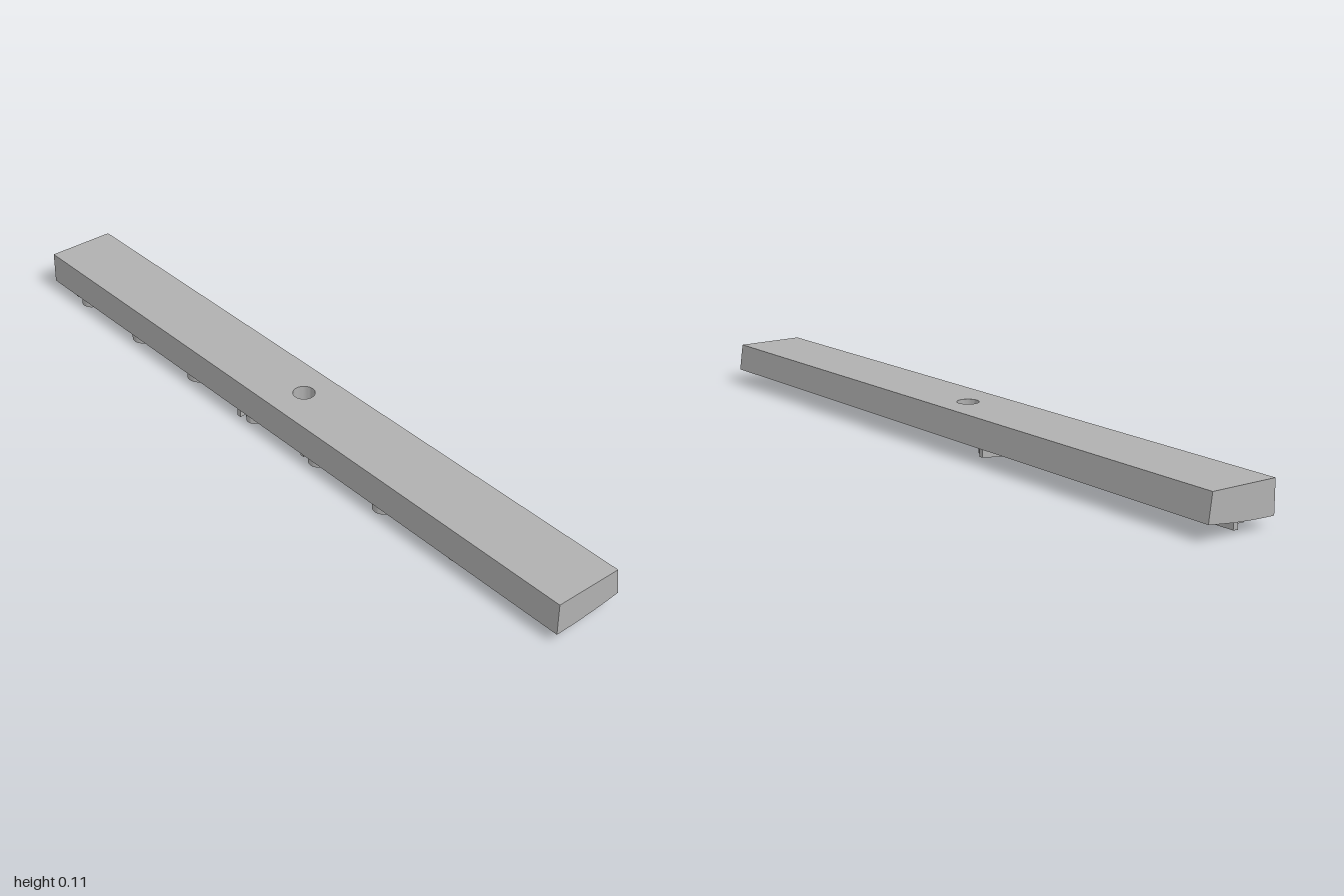
import * as THREE from 'three';
import { toCreasedNormals } from 'three/addons/utils/BufferGeometryUtils.js';

const TOP = 0.115, HOLE = 0.029, LUG = 0.028;

// Height of the gently curved underside at a given x
const underside = (x) => 0.028 + 0.014 * ((x + 0.1) / 0.2) ** 2;

// Bar built in columns across x, parted around the vertical hole
function barGeometry() {
  const pos = [];
  const quad = (a, b, c, d, flip) => {
    const q = flip ? [d, c, b, a] : [a, b, c, d];
    for (const i of [0, 1, 2, 0, 2, 3]) pos.push(...q[i]);
  };
  const xs = [-0.1, -0.08, -0.06, -0.045];
  for (let i = 0; i <= 16; i++) xs.push(-HOLE * Math.cos((Math.PI * i) / 16));
  xs.push(0.045, 0.06, 0.075, 0.09, 0.1);
  const gap = (x) => Math.sqrt(Math.max(0, HOLE * HOLE - x * x));
  const topX = (x) => Math.min(x, 0.09);

  for (let i = 0; i < xs.length - 1; i++) {
    const x0 = xs[i], x1 = xs[i + 1], t0 = topX(x0), t1 = topX(x1);
    const b0 = underside(x0), b1 = underside(x1), h0 = gap(x0), h1 = gap(x1);
    for (const s of [1, -1]) {
      const f = s < 0;
      quad([t0, TOP, s * h0], [t0, TOP, s], [t1, TOP, s], [t1, TOP, s * h1], f);
      quad([x0, b0, s * h0], [x0, b0, s], [x1, b1, s], [x1, b1, s * h1], !f);
      quad([x0, b0, s], [x1, b1, s], [t1, TOP, s], [t0, TOP, s], f);
      if (h0 + h1 > 1e-6) {
        quad([x0, b0, s * h0], [x1, b1, s * h1], [x1, TOP, s * h1], [x0, TOP, s * h0], !f);
      }
    }
  }
  // Upright left-hand side and leaning right-hand side
  for (const x of [-0.1, 0.1]) {
    const b = underside(x), t = topX(x);
    quad([x, b, -1], [x, b, 1], [t, TOP, 1], [t, TOP, -1], x > 0);
  }
  const geo = new THREE.BufferGeometry();
  geo.setAttribute('position', new THREE.Float32BufferAttribute(pos, 3));
  return toCreasedNormals(geo, 0.5);
}

// Bend a lug so that it follows the underside
function followUnderside(geo) {
  const p = geo.attributes.position;
  for (let i = 0; i < p.count; i++) p.setY(i, p.getY(i) + underside(p.getX(i)));
  return toCreasedNormals(geo, 0.6);
}

function ribGeometry(x, z, width, length) {
  const geo = new THREE.BoxGeometry(width, LUG + 0.003, length, 8, 1, 1);
  geo.translate(x, 0.0015 - LUG / 2, z);
  return followUnderside(geo);
}

function ringGeometry(x, z, outer, inner) {
  const shape = new THREE.Shape().absarc(0, 0, outer, 0, Math.PI * 2);
  shape.holes.push(new THREE.Path().absarc(0, 0, inner, 0, Math.PI * 2, true));
  const geo = new THREE.ExtrudeGeometry(shape, { depth: LUG + 0.003, bevelEnabled: false, curveSegments: 24 });
  geo.rotateX(-Math.PI / 2).translate(x, -LUG, z);
  return followUnderside(geo);
}

export function createModel() {
  const grey = new THREE.MeshStandardMaterial({ color: 0xb0b0b0 });
  grey.name = 'plain grey';
  const model = new THREE.Group();
  model.name = 'bar';
  const add = (name, geo) => {
    const mesh = new THREE.Mesh(geo, grey);
    mesh.name = name;
    model.add(mesh);
  };

  add('barBody', barGeometry());

  // Raised rings under the bar: x, z, outer radius, inner radius
  const rings = [
    [-0.043, 0.63, 0.034, 0.022],
    [-0.064, 0.38, 0.028, 0.017],
    [-0.062, 0.132, 0.027, 0.016],
    [0.027, -0.118, 0.022, 0.012],
    [-0.023, -0.118, 0.022, 0.012],
    [-0.07, -0.118, 0.022, 0.012],
    [-0.058, -0.373, 0.032, 0.02],
    [-0.06, -0.625, 0.031, 0.019],
    [-0.062, -0.872, 0.029, 0.018],
  ];
  for (const r of rings) add('raisedRing', ringGeometry(...r));

  // Raised ribs under the bar: x, z, width, length
  const ribs = [
    [-0.016, 0.378, 0.014, 0.195],
    [-0.015, 0.095, 0.014, 0.13],
    [-0.065, 0.088, 0.03, 0.012],
    [-0.009, -0.155, 0.168, 0.012],
    [-0.015, -0.372, 0.014, 0.065],
    [-0.01, -0.595, 0.014, 0.13],
    [-0.024, -0.652, 0.03, 0.012],
    [-0.012, -0.905, 0.014, 0.13],
    [-0.062, -0.925, 0.03, 0.012],
  ];
  for (const r of ribs) add('raisedRib', ribGeometry(...r));

  return model;
}
